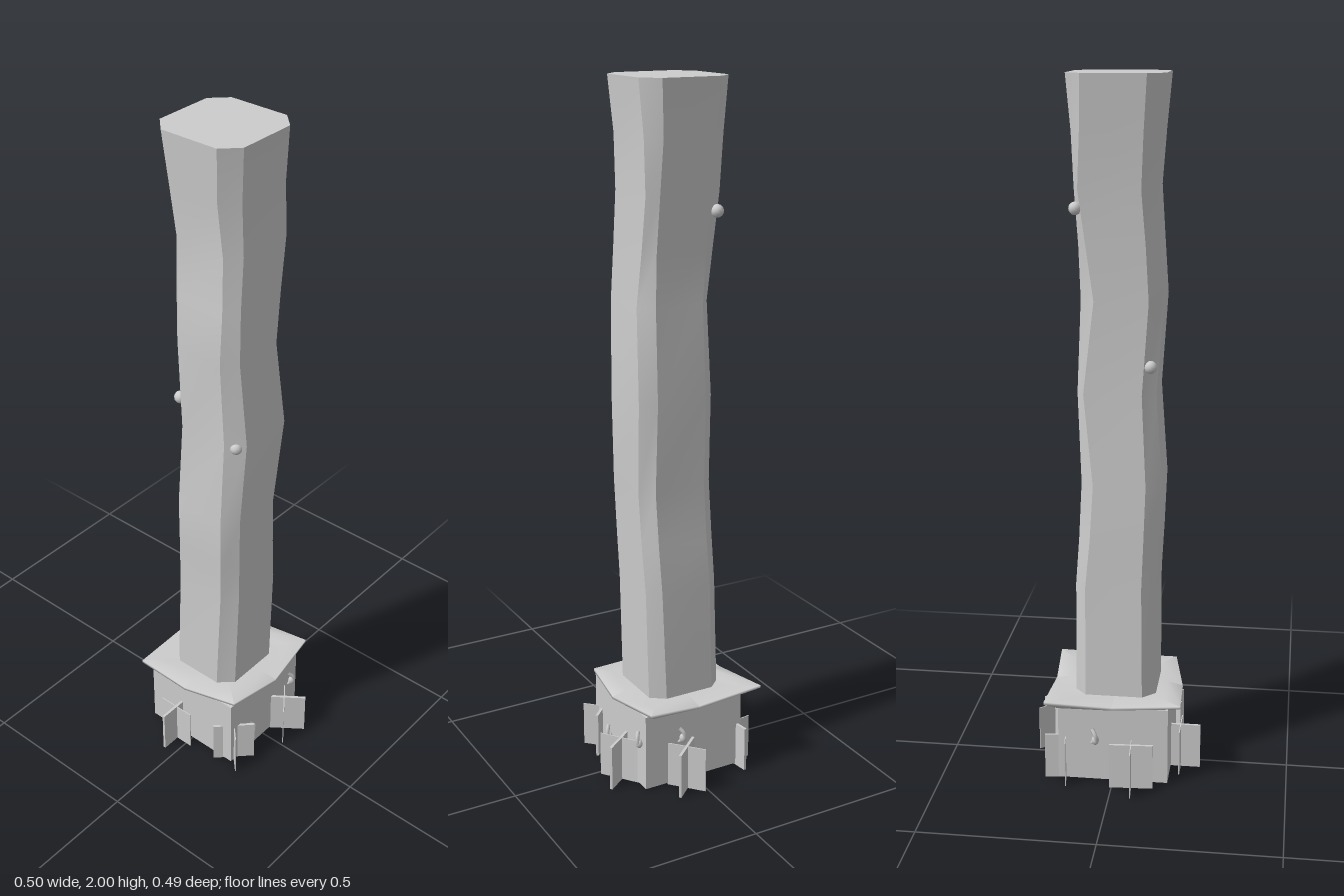
import * as THREE from 'three';

const stone = new THREE.MeshStandardMaterial({ color: 0xcccccc });
stone.name = 'grey stone';
stone.side = THREE.DoubleSide;

function add(group, name, geometry, position = [0, 0, 0]) {
  const mesh = new THREE.Mesh(geometry, stone);
  mesh.name = name;
  mesh.position.set(...position);
  group.add(mesh);
  return mesh;
}

// Skins rings of points (bottom to top). Strips do not share vertices, so
// vertical edges stay sharp while each strip is smooth along its length.
function skin(rings, capTop) {
  const pos = [], index = [], n = rings[0].length;
  for (let i = 0; i < n; i++) {
    const base = pos.length / 3;
    rings.forEach((r, k) => {
      pos.push(...r[i], ...r[(i + 1) % n]);
      if (k) {
        const a = base + (k - 1) * 2;
        index.push(a, a + 1, a + 3, a, a + 3, a + 2);
      }
    });
  }
  if (capTop) {
    const base = pos.length / 3, top = rings[rings.length - 1];
    top.forEach((p) => pos.push(...p));
    for (let i = 1; i < n - 1; i++) index.push(base, base + i, base + i + 1);
  }
  const g = new THREE.BufferGeometry();
  g.setAttribute('position', new THREE.Float32BufferAttribute(pos, 3));
  g.setIndex(index);
  g.computeVertexNormals();
  return g;
}

// Trunk rows: y, left x, inner left, inner right, right, back z, inner back, inner front, front
const trunkRows = [
  [0.22, -0.12, -0.085, 0.065, 0.107, -0.116, -0.085, 0.08, 0.117],
  [0.58, -0.108, -0.075, 0.08, 0.117, -0.116, -0.085, 0.075, 0.115],
  [0.72, -0.105, -0.068, 0.086, 0.122, -0.107, -0.072, 0.08, 0.122],
  [0.88, -0.1, -0.063, 0.092, 0.127, -0.1, -0.063, 0.085, 0.128],
  [1.14, -0.088, -0.06, 0.09, 0.138, -0.11, -0.09, 0.072, 0.11],
  [1.4, -0.09, -0.055, 0.09, 0.127, -0.1, -0.06, 0.09, 0.127],
  [1.55, -0.096, -0.06, 0.09, 0.122, -0.105, -0.08, 0.082, 0.117],
  [1.7, -0.103, -0.066, 0.085, 0.12, -0.115, -0.1, 0.07, 0.108],
  [1.85, -0.118, -0.078, 0.077, 0.12, -0.12, -0.092, 0.077, 0.12],
  [2.0, -0.135, -0.09, 0.087, 0.132, -0.132, -0.087, 0.087, 0.133],
];

const cross = (group, x, z, angle, half) => {
  const plates = new THREE.Group();
  plates.name = 'crossedPlates';
  plates.position.set(x, 0.0675, z);
  plates.rotation.y = angle;
  for (const [i, t] of [0.008, 0.003].entries()) {
    const p = add(plates, 'plate', new THREE.BoxGeometry(half * 2, 0.135, t));
    p.rotation.y = i * Math.PI / 2;
  }
  group.add(plates);
};

export function createModel() {
  const model = new THREE.Group();

  // Wavy shaft with chamfered corners
  add(model, 'shaft', skin(trunkRows.map(([y, l, li, ri, r, b, bi, fi, f]) => [
    [l, y, fi], [li, y, f], [ri, y, f], [r, y, fi],
    [r, y, bi], [ri, y, b], [li, y, b], [l, y, bi],
  ]), true));

  // Square base
  add(model, 'base', new THREE.BoxGeometry(0.318, 0.23, 0.318), [0, 0.12, 0]);

  // Ragged thin ledge: x, z, height of each outer corner
  const rim = [
    [-0.17, 0.195, 0.255], [0, 0.188, 0.24], [0.167, 0.155, 0.255], [0.19, -0.015, 0.245],
    [0.163, -0.2, 0.262], [0, -0.188, 0.245], [-0.205, -0.193, 0.262], [-0.182, 0, 0.245],
  ];
  const ring = (scale, y) => rim.map(([x, z, h]) => [x * scale, y ?? h, z * scale]);
  add(model, 'ledge', skin([
    ring(0.82, 0.228), rim.map(([x, z, h]) => [x, h - 0.008, z]),
    ring(1), ring(0.75, 0.252), ring(0.5, 0.252),
  ], true));

  // Crossed plates standing around the base
  cross(model, -0.04, 0.187, Math.PI / 2, 0.058);
  cross(model, -0.188, 0.056, Math.PI / 2 + 0.06, 0.063);
  cross(model, 0.148, 0.132, Math.PI / 4, 0.063);
  cross(model, 0.19, -0.063, 0.64, 0.066);
  cross(model, 0.048, -0.201, 0.72, 0.058);
  cross(model, -0.145, -0.14, -Math.PI / 2 + 0.13, 0.06);

  // Small round knobs on the shaft
  for (const p of [[-0.078, 1.22, 0.095], [-0.092, 1.65, -0.108], [0.112, 1.13, 0.085]]) {
    add(model, 'knob', new THREE.SphereGeometry(0.018, 12, 8), p);
  }

  // Little curled sprouts on the base walls: x, y, z, turn
  for (const [x, y, z, turn] of [
    [0.157, 0.06, 0.07, 0], [0.157, 0.13, -0.12, 0],
    [-0.157, 0.12, -0.06, Math.PI], [0.05, 0.13, -0.157, Math.PI / 2],
  ]) {
    const path = new THREE.CatmullRomCurve3([[0, 0, 0], [0.012, 0.01, -0.012], [0.014, 0.03, -0.01], [0.006, 0.045, 0]]
      .map((p) => new THREE.Vector3(...p)));
    const s = add(model, 'sprout', new THREE.TubeGeometry(path, 10, 0.006, 6), [x, y, z]);
    s.rotation.y = turn;
    const tip = add(s, 'sproutTip', new THREE.SphereGeometry(0.011, 10, 7), [0.008, 0.012, -0.01]);
    tip.scale.y = 1.3;
  }
  return model;
}
